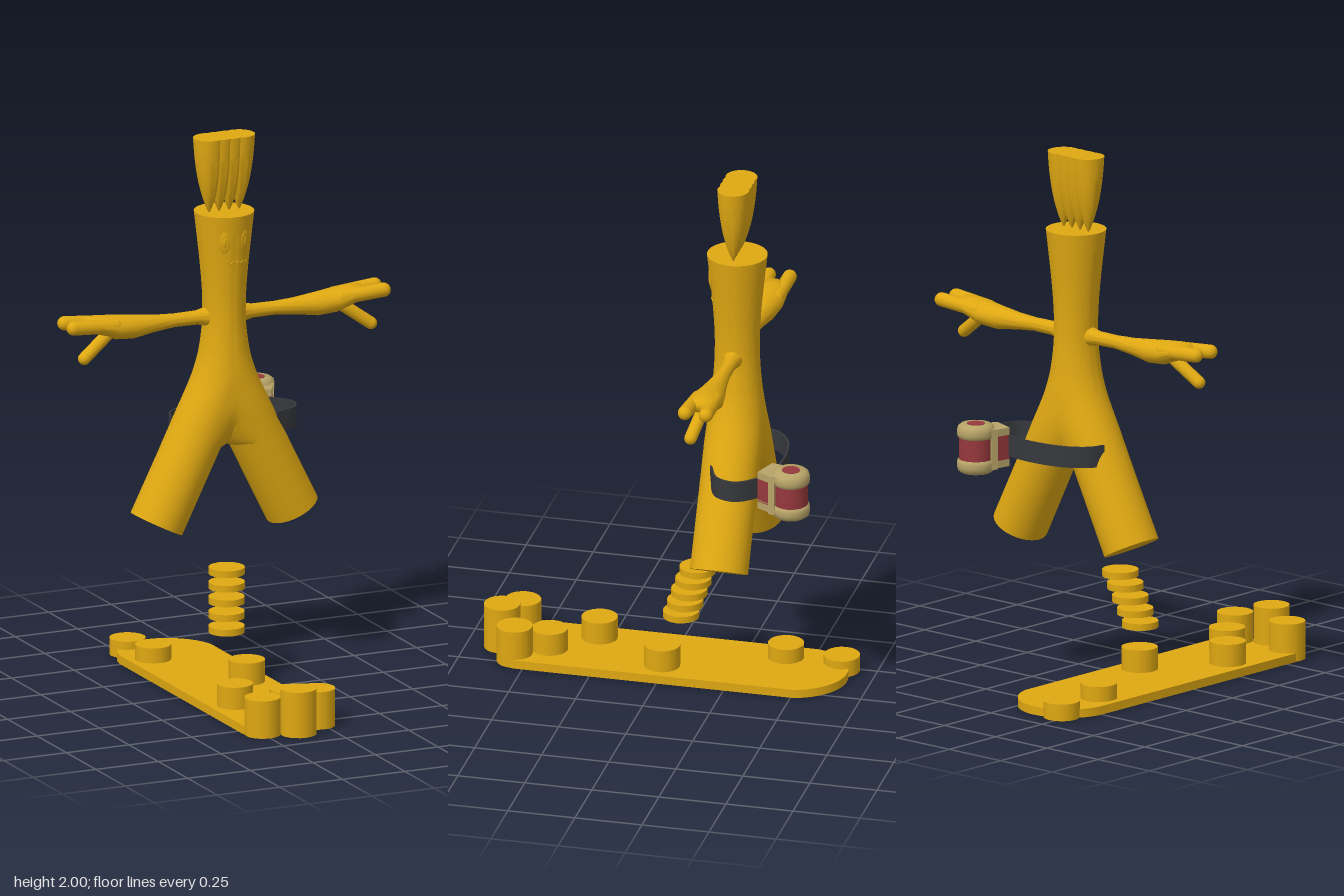
import * as THREE from 'three';
import { toCreasedNormals } from 'three/addons/utils/BufferGeometryUtils.js';

const gold = new THREE.MeshStandardMaterial({ color: 0xdfa812 });
gold.name = 'gold';
const charcoal = new THREE.MeshStandardMaterial({ color: 0x36383c, side: THREE.DoubleSide });
charcoal.name = 'charcoal';
const beige = new THREE.MeshStandardMaterial({ color: 0xb8a468 });
beige.name = 'beige';
const red = new THREE.MeshStandardMaterial({ color: 0x96383c });
red.name = 'red';

function add(parent, name, geo, mat, x = 0, y = 0, z = 0) {
  const m = new THREE.Mesh(geo, mat);
  m.name = name;
  m.position.set(x, y, z);
  parent.add(m);
  return m;
}

// Skin a list of closed rings (arrays of Vector3) and cap both ends
function loft(rings, crease = 0.7) {
  const n = rings[0].length, pos = [], idx = [];
  rings.forEach(r => r.forEach(p => pos.push(p.x, p.y, p.z)));
  const centre = r => {
    const c = r.reduce((s, p) => s.add(p), new THREE.Vector3()).divideScalar(n);
    pos.push(c.x, c.y, c.z);
    return pos.length / 3 - 1;
  };
  const last = (rings.length - 1) * n;
  const c0 = centre(rings[0]), c1 = centre(rings[rings.length - 1]);
  for (let j = 0; j < n; j++) {
    const k = (j + 1) % n;
    for (let i = 0; i < last; i += n) idx.push(i + j, i + n + j, i + k, i + k, i + n + j, i + n + k);
    idx.push(c0, j, k, c1, last + k, last + j);
  }
  const g = new THREE.BufferGeometry();
  g.setAttribute('position', new THREE.Float32BufferAttribute(pos, 3));
  g.setIndex(idx);
  return toCreasedNormals(g, crease);
}

// Capsule between two points
function limb(parent, name, a, b, r) {
  const d = b.clone().sub(a);
  const m = add(parent, name, new THREE.CapsuleGeometry(r, d.length(), 8, 20), gold);
  m.position.copy(a).add(b).multiplyScalar(0.5);
  m.quaternion.setFromUnitVectors(new THREE.Vector3(0, 1, 0), d.normalize());
}

const V = (x, y, z) => new THREE.Vector3(x, y, z);

// Torso and head in one sweep: half width, height, half depth
function bodyGeometry() {
  const profile = new THREE.CatmullRomCurve3([
    V(0.112, 0.845, 0.105), V(0.112, 0.92, 0.105), V(0.112, 1.0, 0.105), V(0.107, 1.115, 0.099),
    V(0.09, 1.2, 0.09), V(0.078, 1.3, 0.083), V(0.078, 1.4, 0.082),
    V(0.087, 1.52, 0.089), V(0.099, 1.63, 0.1), V(0.109, 1.72, 0.11)]);
  const rings = [];
  for (let i = 0; i <= 54; i++) {
    const { x: a, y, z: r } = profile.getPoint(i / 54);
    const d = 1.115 - y;
    const c = 0.25 * (d + Math.sqrt(d * d + 0.002)); // spread of the two legs
    const s = Math.max(0, (1.05 - y) / 0.205);
    const mid = Math.sqrt(Math.max(0, 1 - s * s)); // thinning towards the crotch
    rings.push(Array.from({ length: 64 }, (_, j) => {
      const t = j / 64 * Math.PI * 2, x = (c + a) * Math.cos(t), ax = Math.abs(x);
      const depth = ax < c ? 1 - (1 - mid) * (1 - ax / c) ** 2
        : Math.sqrt(Math.max(0, 1 - ((ax - c) / a) ** 2));
      return V(x, y, r * depth * Math.sign(Math.sin(t)));
    }));
  }
  return loft(rings);
}

// Arm along +x: position, centre height, half height, half depth
function armGeometry() {
  const rows = [
    [0.04, 1.33, 0.045, 0.045], [0.075, 1.33, 0.034, 0.034], [0.11, 1.33, 0.026, 0.026],
    [0.2, 1.33, 0.025, 0.025], [0.28, 1.328, 0.031, 0.033], [0.37, 1.326, 0.043, 0.048],
    [0.44, 1.333, 0.044, 0.06], [0.5, 1.347, 0.035, 0.061], [0.545, 1.355, 0.025, 0.052],
    [0.56, 1.357, 0.01, 0.03]];
  return loft(rows.map(([x, y, h, d]) => Array.from({ length: 28 }, (_, j) => {
    const t = j / 28 * Math.PI * 2;
    return V(x, y + h * Math.cos(t), -d * Math.sin(t));
  })), 1.2);
}

function buildFigure() {
  const fig = new THREE.Group();
  fig.name = 'figure';
  fig.position.z = -0.29;
  add(fig, 'body', bodyGeometry(), gold);

  for (const s of [1, -1]) {
    const tilt = Math.atan(0.5);
    const leg = add(fig, 'leg', new THREE.CylinderGeometry(0.1, 0.101, 0.42, 40), gold);
    leg.scale.z = 1.05;
    leg.rotation.z = s * tilt;
    leg.position.set(s * (0.27 - 0.21 * Math.sin(tilt)), 0.575 + 0.21 * Math.cos(tilt), 0);

    const arm = new THREE.Group();
    arm.name = s > 0 ? 'leftArm' : 'rightArm';
    arm.scale.x = s;
    fig.add(arm);
    add(arm, 'armAndPalm', armGeometry(), gold);
    for (const k of [1, -1]) limb(arm, 'finger', V(0.45, 1.345, k * 0.032), V(0.619, 1.358, k * 0.039), 0.026);
    limb(arm, 'thumb', V(0.45, 1.325, 0.005), V(0.572, 1.237, 0.03), 0.023);

    // Low relief eye with pupil
    const eye = new THREE.Group();
    eye.name = 'eye';
    eye.position.set(s * 0.04, 1.623, 0.091);
    eye.rotation.set(0.1, s * 0.4, 0);
    fig.add(eye);
    add(eye, 'eyeball', new THREE.SphereGeometry(1, 24, 16), gold).scale.set(0.02, 0.04, 0.004);
    add(eye, 'pupil', new THREE.SphereGeometry(1, 16, 12), gold, 0, 0, 0.002).scale.set(0.008, 0.02, 0.004);
  }

  // Wavy mouth following the face
  const lips = [];
  for (let i = 0; i <= 16; i++) {
    const x = -0.03 + i * 0.005;
    lips.push(V(x, 1.545 + 0.004 * Math.sin(i * 1.6), 0.092 * Math.sqrt(1 - (x / 0.09) ** 2)));
  }
  add(fig, 'mouth', new THREE.TubeGeometry(new THREE.CatmullRomCurve3(lips), 48, 0.0025, 6), gold);

  // Four locks of hair, pointed below and cut flat on top
  const lock = new THREE.SplineCurve([[0.001, 1.715], [0.019, 1.76], [0.036, 1.82], [0.047, 1.88],
    [0.054, 1.94], [0.058, 2]].map(p => new THREE.Vector2(...p))).getPoints(20);
  lock.push(new THREE.Vector2(0, 2));
  const lockGeo = toCreasedNormals(new THREE.LatheGeometry(lock, 32), 0.7);
  for (const x of [-0.06, -0.02, 0.02, 0.06]) add(fig, 'hairLock', lockGeo, gold, x);
  return fig;
}

function buildBelt() {
  const path = new THREE.CatmullRomCurve3([[-0.185, -0.345], [-0.165, -0.4], [-0.09, -0.455], [0.05, -0.478],
    [0.16, -0.465], [0.25, -0.425], [0.302, -0.355], [0.28, -0.285], [0.185, -0.238]].map(([x, z]) => V(x, 0.915, z)));
  const rings = path.getPoints(60).map((p, i) => {
    const t = path.getTangent(i / 60);
    const side = V(-t.z, 0, t.x).multiplyScalar(0.004);
    return [[1, 1], [1, -1], [-1, -1], [-1, 1]].map(([a, b]) =>
      p.clone().addScaledVector(side, a).add(V(0, b * 0.039, 0)));
  });
  return loft(rings);
}

// Rounded spool held on the belt by a tapered bracket
function buildCanister() {
  const g = new THREE.Group();
  g.name = 'canister';
  g.position.set(0.25, 0.91, -0.553);
  g.rotation.y = 2.8;
  const rim = [[0, 0.038], [0.06, 0.038], [0.067, 0.044], [0.069, 0.055], [0.069, 0.068], [0.065, 0.082],
    [0.054, 0.09], [0, 0.09]].map(p => new THREE.Vector2(...p));
  const capGeo = toCreasedNormals(new THREE.LatheGeometry(rim, 28), 0.8);
  const taper = h => {
    const geo = new THREE.BoxGeometry(0.114, h, 0.06), p = geo.attributes.position;
    for (let i = 0; i < p.count; i++) if (p.getZ(i) < 0) p.setX(i, p.getX(i) * 0.82);
    geo.computeVertexNormals();
    return geo;
  };
  add(g, 'spoolCore', new THREE.CylinderGeometry(0.062, 0.062, 0.1, 28), red);
  add(g, 'bracketCore', taper(0.09), red, 0, 0, -0.083);
  add(g, 'bracketFrame', new THREE.BoxGeometry(0.122, 0.15, 0.026), beige, 0, 0, -0.045);
  for (const s of [1, -1]) {
    const cap = add(g, 'spoolCap', capGeo, beige);
    if (s < 0) cap.rotation.x = Math.PI;
    add(g, 'capSpot', new THREE.CylinderGeometry(0.033, 0.033, 0.004, 12), red, 0, s * 0.09, 0);
    add(g, 'bracketPlate', taper(0.036), beige, 0, s * 0.054, -0.083);
  }
  return g;
}

function buildBoard() {
  const g = new THREE.Group();
  g.name = 'platform';
  // Shape y becomes -z once laid flat
  const s = new THREE.Shape();
  s.moveTo(-0.315, -0.54);
  s.quadraticCurveTo(-0.3, -0.6, -0.24, -0.61);
  s.lineTo(-0.03, -0.6);
  s.quadraticCurveTo(0.04, -0.59, 0.05, -0.53);
  s.lineTo(0.05, 0.51);
  s.bezierCurveTo(0.03, 0.6, -0.05, 0.665, -0.133, 0.665);
  s.bezierCurveTo(-0.22, 0.665, -0.3, 0.61, -0.315, 0.51);
  s.closePath();
  const geo = new THREE.ExtrudeGeometry(s, { depth: 0.032, bevelEnabled: false, curveSegments: 14 });
  add(g, 'board', toCreasedNormals(geo.rotateX(-Math.PI / 2), 0.6), gold);

  // Posts: x, z, height
  for (const [x, z, h] of [[-0.23, -0.622, 0.062], [-0.224, -0.415, 0.088], [-0.046, 0.002, 0.115],
    [-0.224, 0.28, 0.115], [-0.085, 0.43, 0.115], [-0.25, 0.572, 0.14], [-0.13, 0.62, 0.17], [-0.02, 0.545, 0.14]])
    add(g, 'post', new THREE.CylinderGeometry(0.066, 0.066, h, 20), gold, x, h / 2, z);

  // Floating stack of discs
  for (let i = 0; i < 5; i++)
    add(g, 'floatingDisc', new THREE.CylinderGeometry(0.066, 0.066, 0.025, 20), gold,
      -0.1 + i * 0.0083, 0.221 + i * 0.0495, -0.055 - i * 0.0175);
  return g;
}

export function createModel() {
  const model = new THREE.Group();
  model.name = 'springFigure';
  model.add(buildFigure(), buildCanister(), buildBoard());
  add(model, 'belt', buildBelt(), charcoal);
  return model;
}
